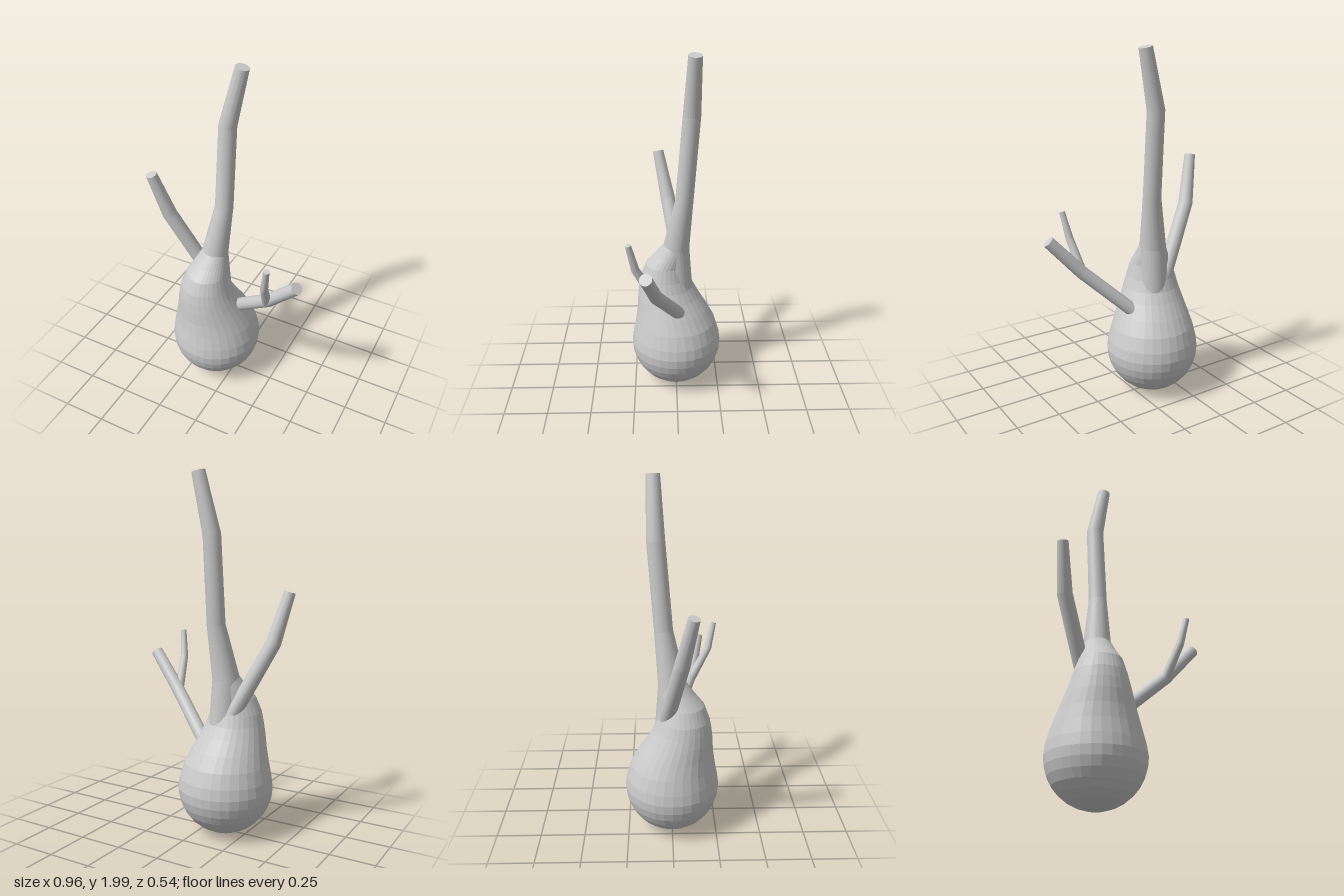
import * as THREE from 'three';
import { toCreasedNormals } from 'three/addons/utils/BufferGeometryUtils.js';

const UP = new THREE.Vector3(0, 1, 0);

// Skin a closed surface over circular rings { c: centre, r: radius, n: axis }, capped at both ends
function loft(rings, sides) {
  const pos = [], index = [];
  rings.forEach(({ c, r, n }) => {
    const q = new THREE.Quaternion().setFromUnitVectors(UP, n);
    for (let j = 0; j < sides; j++) {
      const a = (j / sides) * Math.PI * 2;
      const p = new THREE.Vector3(Math.cos(a) * r, 0, -Math.sin(a) * r).applyQuaternion(q).add(c);
      pos.push(p.x, p.y, p.z);
    }
  });
  for (let i = 0; i < rings.length - 1; i++) {
    for (let j = 0; j < sides; j++) {
      const k = (j + 1) % sides;
      const a = i * sides + j, b = i * sides + k;
      index.push(a, b, b + sides, a, b + sides, a + sides);
    }
  }
  const last = rings.length - 1;
  const bottom = pos.length / 3;
  pos.push(...rings[0].c.toArray(), ...rings[last].c.toArray());
  for (let j = 0; j < sides; j++) {
    const k = (j + 1) % sides;
    index.push(bottom, k, j, bottom + 1, last * sides + j, last * sides + k);
  }
  const geo = new THREE.BufferGeometry();
  geo.setAttribute('position', new THREE.Float32BufferAttribute(pos, 3));
  geo.setIndex(index);
  geo.computeVertexNormals();
  return geo;
}

// Tapered limb through points [x, y, z, radius], with mitred bends
function limb(name, points, material) {
  const centres = points.map(([x, y, z]) => new THREE.Vector3(x, y, z));
  const dir = (i) => centres[i + 1].clone().sub(centres[i]).normalize();
  const rings = points.map((p, i) => {
    const n = new THREE.Vector3();
    if (i > 0) n.add(dir(i - 1));
    if (i < points.length - 1) n.add(dir(i));
    return { c: centres[i], r: p[3], n: n.normalize() };
  });
  const mesh = new THREE.Mesh(toCreasedNormals(loft(rings, 24), 0.28), material);
  mesh.name = name;
  return mesh;
}

export function createModel() {
  const group = new THREE.Group();
  group.name = 'bulbWithBranches';
  const bark = new THREE.MeshStandardMaterial({ color: 0xcccccc });
  const faceted = new THREE.MeshStandardMaterial({ color: 0xcccccc, flatShading: true });

  // Bulb: round underside, then a neck that leans forward [y, x, z, radius]
  const R = 0.265, profile = [];
  for (let i = 0; i <= 8; i++) {
    const a = (i / 8) * Math.PI / 2;
    profile.push([0.005 + R * (1 - Math.cos(a)), -0.125, 0, R * Math.sin(a)]);
  }
  profile.push(
    [0.33, -0.126, 0, 0.257], [0.41, -0.13, 0.005, 0.236], [0.49, -0.138, 0.022, 0.208],
    [0.57, -0.148, 0.045, 0.18], [0.63, -0.153, 0.058, 0.16], [0.69, -0.156, 0.064, 0.143],
    [0.77, -0.15, 0.06, 0.117], [0.83, -0.138, 0.03, 0.095], [0.9, -0.125, 0.002, 0.07],
  );
  const bulb = new THREE.Mesh(
    loft(profile.map(([y, x, z, r]) => ({ c: new THREE.Vector3(x, y, z), r, n: UP })), 32), faceted);
  bulb.name = 'bulb';
  group.add(bulb);

  // Main stem, rising out of the back of the neck
  group.add(limb('stem', [
    [-0.118, 0.5, -0.02, 0.085], [-0.126, 0.88, 0, 0.076], [-0.088, 1.18, -0.045, 0.051],
    [-0.083, 1.66, -0.083, 0.049], [-0.008, 1.985, -0.095, 0.037],
  ], bark));

  // Side branches and the small twig
  group.add(limb('rightBranch', [
    [-0.19, 0.7, -0.03, 0.042], [-0.387, 1.09, 0.045, 0.042], [-0.453, 1.36, 0.1, 0.031],
  ], bark));
  group.add(limb('leftBranch', [
    [-0.02, 0.49, -0.03, 0.038], [0.27, 0.765, 0.115, 0.037], [0.448, 0.962, 0.165, 0.034],
  ], bark));
  group.add(limb('twig', [
    [0.262, 0.76, 0.125, 0.026], [0.288, 0.94, 0.222, 0.022], [0.313, 1.09, 0.255, 0.016],
  ], bark));

  return group;
}
